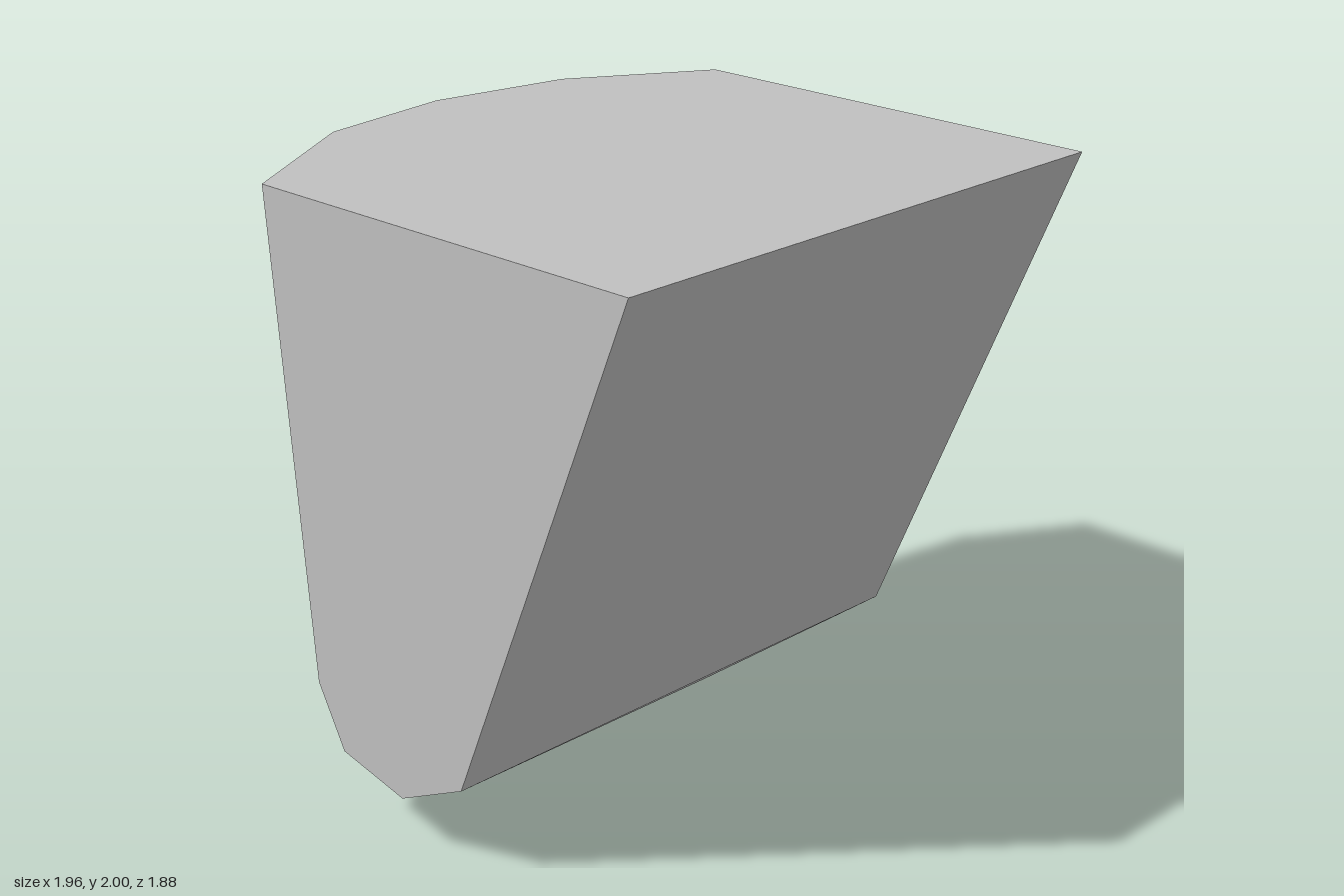
import * as THREE from 'three';
import { ConvexGeometry } from 'three/addons/geometries/ConvexGeometry.js';

export function createModel() {
  const grey = new THREE.MeshStandardMaterial({ color: 0xc0c0c0 });
  grey.name = 'grey';

  const corners = [
    // flat top: straight front edge, bowed back
    [0.98, 2, 0.93], [-0.98, 2, 0.935],
    [-0.98, 2, -0.56], [-0.46, 2, -0.87], [0.03, 2, -0.94], [0.52, 2, -0.86], [0.98, 2, -0.585],
    // lower rim of the left side
    [0.98, 0.28, 0.2], [0.98, 0.17, -0.03], [0.98, 0.225, -0.3], [0.98, 0.45, -0.42],
    // lower rim of the right side
    [-0.98, 0.31, 0.24], [-0.98, 0.18, -0.03], [-0.98, 0.24, -0.3], [-0.98, 0.44, -0.41],
    // rounded back of the base
    [0.85, 0.29, -0.45], [0.02, 0.46, -0.63], [-0.83, 0.29, -0.45], [0.04, 0.03, -0.45],
    // lowest edge
    [0.52, 0, -0.17], [-0.53, 0.02, -0.17],
  ].map((p) => new THREE.Vector3(...p));

  // faceted convex block
  const block = new THREE.Mesh(new ConvexGeometry(corners), grey);
  block.name = 'facetedBlock';

  const model = new THREE.Group();
  model.name = 'taperedBlock';
  model.add(block);
  return model;
}
